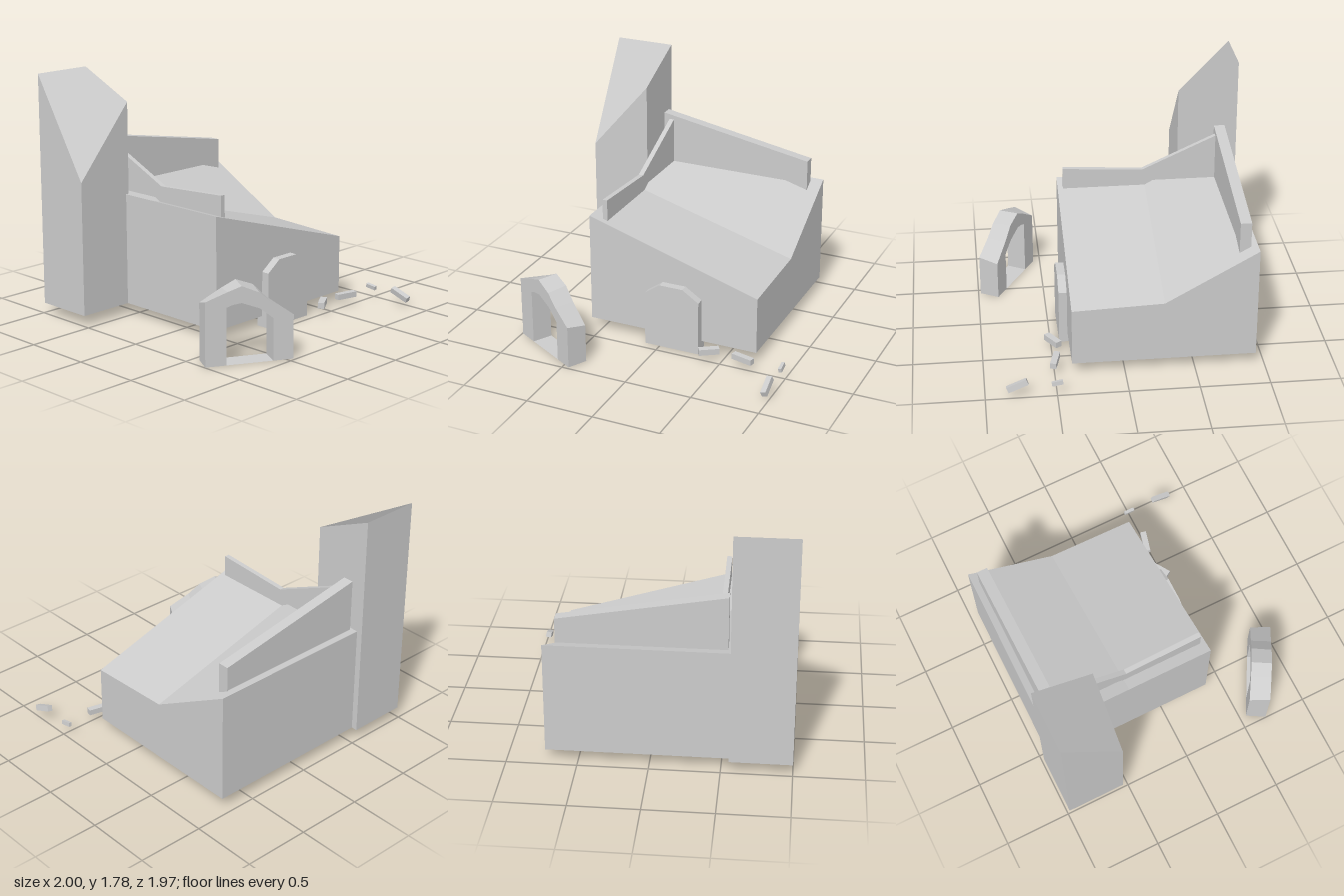
import * as THREE from 'three';

const material = new THREE.MeshStandardMaterial({ color: 0xcccccc });
const sheetMaterial = new THREE.MeshStandardMaterial({ color: 0xcccccc, side: THREE.DoubleSide });

// Solid from polygons: one normal per polygon, quads split on the shorter diagonal,
// larger polygons fanned from their first corner.
function faceted(polygons) {
  const positions = [], normals = [];
  for (const polygon of polygons) {
    let p = polygon.map((c) => new THREE.Vector3(...c));
    if (p.length === 4 && p[1].distanceTo(p[3]) < p[0].distanceTo(p[2])) p = [p[1], p[2], p[3], p[0]];
    const n = new THREE.Vector3();
    p.forEach((a, i) => n.add(a.clone().cross(p[(i + 1) % p.length])));
    n.normalize();
    for (let i = 1; i < p.length - 1; i++) {
      for (const v of [p[0], p[i], p[i + 1]]) {
        positions.push(v.x, v.y, v.z);
        normals.push(n.x, n.y, n.z);
      }
    }
  }
  const g = new THREE.BufferGeometry();
  g.setAttribute('position', new THREE.Float32BufferAttribute(positions, 3));
  g.setAttribute('normal', new THREE.Float32BufferAttribute(normals, 3));
  return g;
}

function extrude(points, depth) {
  const shape = new THREE.Shape(points.map(([x, y]) => new THREE.Vector2(x, y)));
  return new THREE.ExtrudeGeometry(shape, { depth, bevelEnabled: false });
}

// Main hall: level on its left, roof dropping in two twisted slopes to the right
function hallGeometry() {
  const L = -0.58, R = 0.73, F = 0.375, M = -0.28, B = -0.94, y0 = 0.08, top = 0.905;
  const lf = [L, top, F], lm = [L, top, M], lb = [L, top, B];
  const rf = [R, 0.505, F], rm = [R, 0.53, M], rb = [R, top, B];
  const a = [L, y0, F], b = [R, y0, F], c = [R, y0, B], d = [L, y0, B];
  return faceted([
    [a, b, rf, lf], [c, d, lb, rb], [d, a, lf, lb], [rm, rf, b, c, rb],
    [lf, rf, rm, lm], [lm, rm, rb, lb], [d, c, b, a],
  ]);
}

// Tower with a skewed, slanted top
function towerGeometry() {
  const L = -1, R = -0.555, F = -0.54, B = -0.985, y0 = 0.08;
  const lf = [L, 1.06, F], rf = [R, 1.58, F], rb = [R, 1.785, B], lb = [L, 1.785, B];
  const a = [L, y0, F], b = [R, y0, F], c = [R, y0, B], d = [L, y0, B];
  return faceted([
    [a, b, rf, lf], [b, c, rb, rf], [c, d, lb, rb], [d, a, lf, lb],
    [lf, rf, rb, lb], [d, c, b, a],
  ]);
}

// Crooked free-standing arch: matching outer and inner outlines, front and back
function archGeometry() {
  // [distance along, front height, back height]
  const outer = [[0, 0, 0], [0, 0.455, 0.41], [0.25, 0.512, 0.5], [0.41, 0.545, 0.55],
    [0.61, 0.49, 0.505], [0.76, 0.41, 0.41], [1, 0.315, 0.288], [1, 0, 0]];
  const inner = [[0.24, 0, 0], [0.24, 0.405, 0.405], [0.31, 0.42, 0.42], [0.41, 0.428, 0.428],
    [0.61, 0.38, 0.38], [0.69, 0.343, 0.343], [0.77, 0.3, 0.3], [0.77, 0, 0]];
  const front = ([t, y]) => [-0.995 + 0.54 * t, y, 0.68 + 0.303 * t];
  const back = ([t, , y]) => [-0.92 + 0.537 * t, y, 0.55 + 0.3 * t];
  const fo = outer.map(front), bo = outer.map(back);
  const fi = inner.map(front), bi = inner.map(back);
  const faces = [];
  for (let i = 0; i < outer.length - 1; i++) {
    const j = i + 1;
    faces.push(
      [fo[i], fi[i], fi[j], fo[j]],
      [bo[j], bi[j], bi[i], bo[i]],
      [fo[i], fo[j], bo[j], bo[i]],
      [bi[i], bi[j], fi[j], fi[i]],
    );
  }
  const e = outer.length - 1;
  const floor = [[bo[0], bo[e], fo[e], fo[0]]];
  return { frame: faceted(faces), floor: faceted(floor) };
}

export function createModel() {
  const model = new THREE.Group();
  model.name = 'ruinedBuilding';
  const add = (name, geometry, mat = material) => {
    const mesh = new THREE.Mesh(geometry, mat);
    mesh.name = name;
    model.add(mesh);
    return mesh;
  };

  add('hall', hallGeometry());
  add('tower', towerGeometry());

  // Broken parapet walls rising out of the roof
  add('backParapet', extrude([[-0.535, 0.6], [0.645, 0.6], [0.645, 1.085], [-0.535, 1.295]], 0.08))
    .position.z = -0.89;
  const side = [[0.335, 0.8], [-0.82, 0.8], [-0.82, 1.253], [-0.26, 0.995], [0.335, 1.03]];
  add('sideParapet', extrude(side.map(([z, y]) => [-z, y]), 0.037).rotateY(Math.PI / 2))
    .position.x = -0.492;

  // Doorway block with chamfered top corners
  add('doorway', extrude([[-0.115, 0], [0.305, 0], [0.305, 0.41], [0.18, 0.492], [0, 0.492], [-0.115, 0.41]], 0.105))
    .position.z = 0.33;

  const arch = archGeometry();
  add('arch', arch.frame);
  add('archThreshold', arch.floor, sheetMaterial);

  // Scattered stones: size, position, rotation
  const stones = [
    [[0.148, 0.045, 0.048], [0.412, 0.083, 0.49], [0, 0.57, 0]],
    [[0.165, 0.042, 0.045], [0.675, 0.083, 0.492], [0, -0.245, 0]],
    [[0.024, 0.03, 0.08], [0.97, 0.085, 0.497], [0.15, 0.05, 0.15]],
    [[0.04, 0.042, 0.15], [0.97, 0.083, 0.775], [0.37, 0.05, 0.2]],
  ];
  stones.forEach(([size, position, rotation], i) => {
    const stone = add(`stone${i + 1}`, new THREE.BoxGeometry(...size));
    stone.position.set(...position);
    stone.rotation.set(...rotation);
  });

  return model;
}
